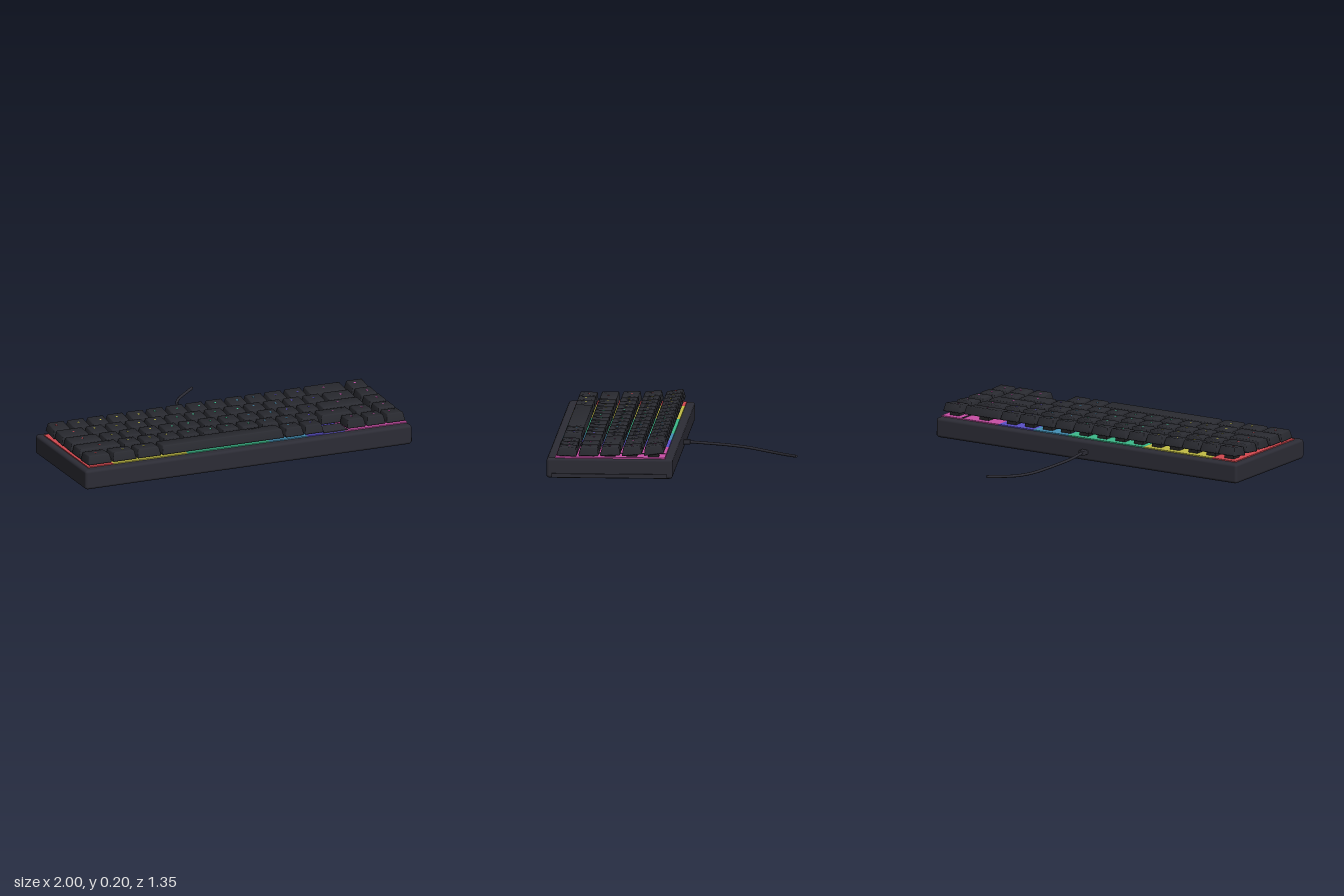
import * as THREE from 'three';
import { RoundedBoxGeometry } from 'three/addons/geometries/RoundedBoxGeometry.js';
import { toCreasedNormals } from 'three/addons/utils/BufferGeometryUtils.js';

const mat = (name, color) => {
  const m = new THREE.MeshStandardMaterial({ color });
  m.name = name;
  return m;
};

const U = 0.12;          // one key unit
const X0 = -0.962;       // left edge of the key field
const KEY_H = 0.05;

export function createModel() {
  const root = new THREE.Group();
  root.name = 'keyboard';

  const caseMat = mat('caseCharcoal', 0x2c2c35);
  const keyMat = mat('keyCharcoal', 0x292a30);
  const baseMat = mat('baseBlack', 0x202022);
  // light bands: colour and right-hand limit in x
  const bands = [
    [mat('lightRed', 0xd2484f), -0.81],
    [mat('lightYellow', 0xc2bd45), -0.36],
    [mat('lightGreen', 0x3cb98a), 0.14],
    [mat('lightBlue', 0x438fb5), 0.37],
    [mat('lightIndigo', 0x5a50c8), 0.6],
    [mat('lightPink', 0xc84fa6), 0.978],
  ];
  const bandAt = x => (bands.find(b => x < b[1]) || bands[5])[0];

  const add = (name, geo, material, x, y, z, parent = root) => {
    const m = new THREE.Mesh(geo, material);
    m.name = name;
    m.position.set(x, y, z);
    parent.add(m);
    return m;
  };
  const box = (w, h, d) => new THREE.BoxGeometry(w, h, d);

  // Case, underside panel and side trim
  add('case', new RoundedBoxGeometry(1.988, 0.112, 0.704, 2, 0.016), caseMat, -0.006, 0.066, 0.325);
  add('basePanel', box(1.95, 0.006, 0.668), baseMat, -0.006, 0.0115, 0.325);
  add('sideTrim', box(0.014, 0.022, 0.645), caseMat, 0.993, 0.026, 0.325);

  // Rubber feet
  for (const x of [-0.735, 0.745])
    for (const z of [0.11, 0.536])
      add('foot', box(0.17, 0.012, 0.058), baseMat, x, 0.006, z);

  // Glowing plate in colour bands
  let start = -0.965;
  for (const [m, end] of bands) {
    add('lightPlate', box(end - start, 0.014, 0.612), m, (start + end) / 2, 0.121, 0.322);
    start = end;
  }
  // Dark covers over the empty parts of the plate
  add('plateCover', box(0.142, 0.006, 0.12), caseMat, 0.546, 0.13, 0.568);
  add('columnCover', box(0.011, 0.004, 0.48), caseMat, 0.842, 0.129, 0.26);

  // Tapered keycap, narrower at the top and leaning slightly back
  const cache = {};
  const keycap = units => {
    if (cache[units]) return cache[units];
    const w = units * U - 0.006, d = 0.114, inset = 0.01;
    const g = new RoundedBoxGeometry(w, KEY_H, d, 2, 0.006);
    const p = g.attributes.position;
    for (let i = 0; i < p.count; i++) {
      const t = p.getY(i) / KEY_H + 0.5;
      p.setX(i, p.getX(i) * (1 - 2 * inset * t / w));
      p.setZ(i, p.getZ(i) * (1 - 2 * inset * t / d) - 0.004 * t);
    }
    return (cache[units] = toCreasedNormals(g, 0.9));
  };

  const pip = box(0.01, 0.002, 0.01);
  const stem = box(0.06, 0.04, 0.06);
  const ones = n => Array(n).fill(1);
  // Rows from back to front: centre, tilt and key widths (negative = empty space)
  const rows = [
    { z: 0.081, y: 0.169, tilt: 8.5, keys: [...ones(13), 2, -0.14, 1] },
    { z: 0.203, y: 0.164, tilt: 5.5, keys: [1.5, ...ones(12), 1.5, -0.14, 1] },
    { z: 0.324, y: 0.161, tilt: 2.5, keys: [1.75, ...ones(11), 2.25, -0.14, 1] },
    { z: 0.444, y: 0.158, tilt: 0, keys: [2.25, ...ones(10), 1.75, 1, -0.14, 1] },
    { z: 0.565, y: 0.156, tilt: -2, keys: [1.25, 1.25, 1.25, 6.25, 1, 1, -1.14, 1, 1, 1] },
  ];
  rows.forEach((row, r) => {
    const group = new THREE.Group();
    group.name = 'keyRow' + (r + 1);
    root.add(group);
    let u = 0;
    row.keys.forEach((k, i) => {
      const units = Math.abs(k);
      const x = X0 + (u + units / 2) * U;
      u += units;
      if (k < 0) return;
      const key = new THREE.Group();
      key.name = 'key';
      key.position.set(x, row.y, row.z);
      key.rotation.x = THREE.MathUtils.degToRad(row.tilt);
      group.add(key);
      add('keycap', keycap(units), keyMat, 0, 0, 0, key);
      // small lit mark on the cap
      if (units < 6) {
        const shift = ((i * 7 + r * 3) % 5 - 2) * 0.006;
        add('keyLight', pip, bandAt(x), shift, KEY_H / 2, -0.006 + shift / 2, key);
      }
      add('switchStem', stem, baseMat, x, 0.14, row.z, group);
    });
  });

  // Plug and trailing cable
  add('plug', new RoundedBoxGeometry(0.04, 0.026, 0.045, 2, 0.005), caseMat, 0.002, 0.06, -0.043);
  const path = new THREE.CatmullRomCurve3([
    [0.002, 0.06, -0.05], [-0.002, 0.051, -0.18], [0.008, 0.045, -0.28], [0.03, 0.036, -0.39],
    [0.062, 0.026, -0.475], [0.11, 0.02, -0.55], [0.17, 0.02, -0.61], [0.24, 0.023, -0.672],
  ].map(a => new THREE.Vector3(...a)));
  add('cable', new THREE.TubeGeometry(path, 48, 0.008, 10), caseMat, 0, 0, 0);
  const tip = add('cableEnd', new THREE.CircleGeometry(0.008, 10), caseMat, 0.24, 0.023, -0.672);
  tip.lookAt(path.getPoint(1).add(path.getTangent(1)));

  return root;
}
